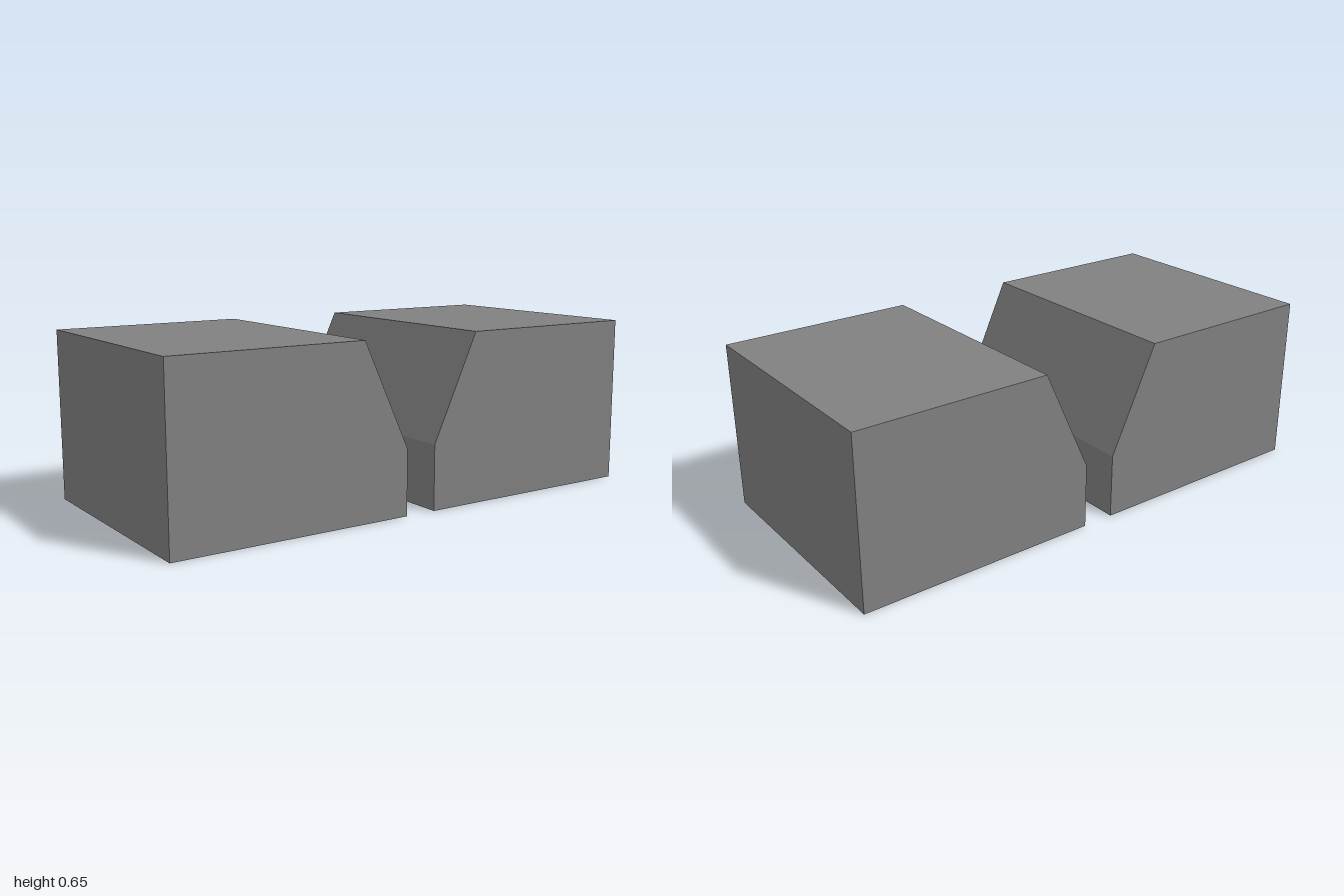
import * as THREE from 'three';

const DEPTH = 0.934;

// One block: a box whose inner upper edge is cut away by a long bevel.
// side is +1 for the left (+x) block and -1 for the right one.
function createBlock(side, material) {
  const profile = [
    [0.0625, 0], [1, 0], [1, 0.653], [0.25, 0.653], [0.0625, 0.25],
  ];
  const shape = new THREE.Shape(profile.map(([x, y]) => new THREE.Vector2(side * x, y)));
  const geometry = new THREE.ExtrudeGeometry(shape, { depth: DEPTH, bevelEnabled: false });
  geometry.translate(0, 0, -DEPTH / 2);
  return new THREE.Mesh(geometry, material);
}

export function createModel() {
  const group = new THREE.Group();
  group.name = 'bevelledBlocks';

  const grey = new THREE.MeshStandardMaterial({ color: 0x808080 });
  grey.name = 'grey';

  // Mirrored pair with a narrow gap that widens into a V at the top
  for (const [name, side] of [['leftBlock', 1], ['rightBlock', -1]]) {
    const block = createBlock(side, grey);
    block.name = name;
    group.add(block);
  }
  return group;
}
